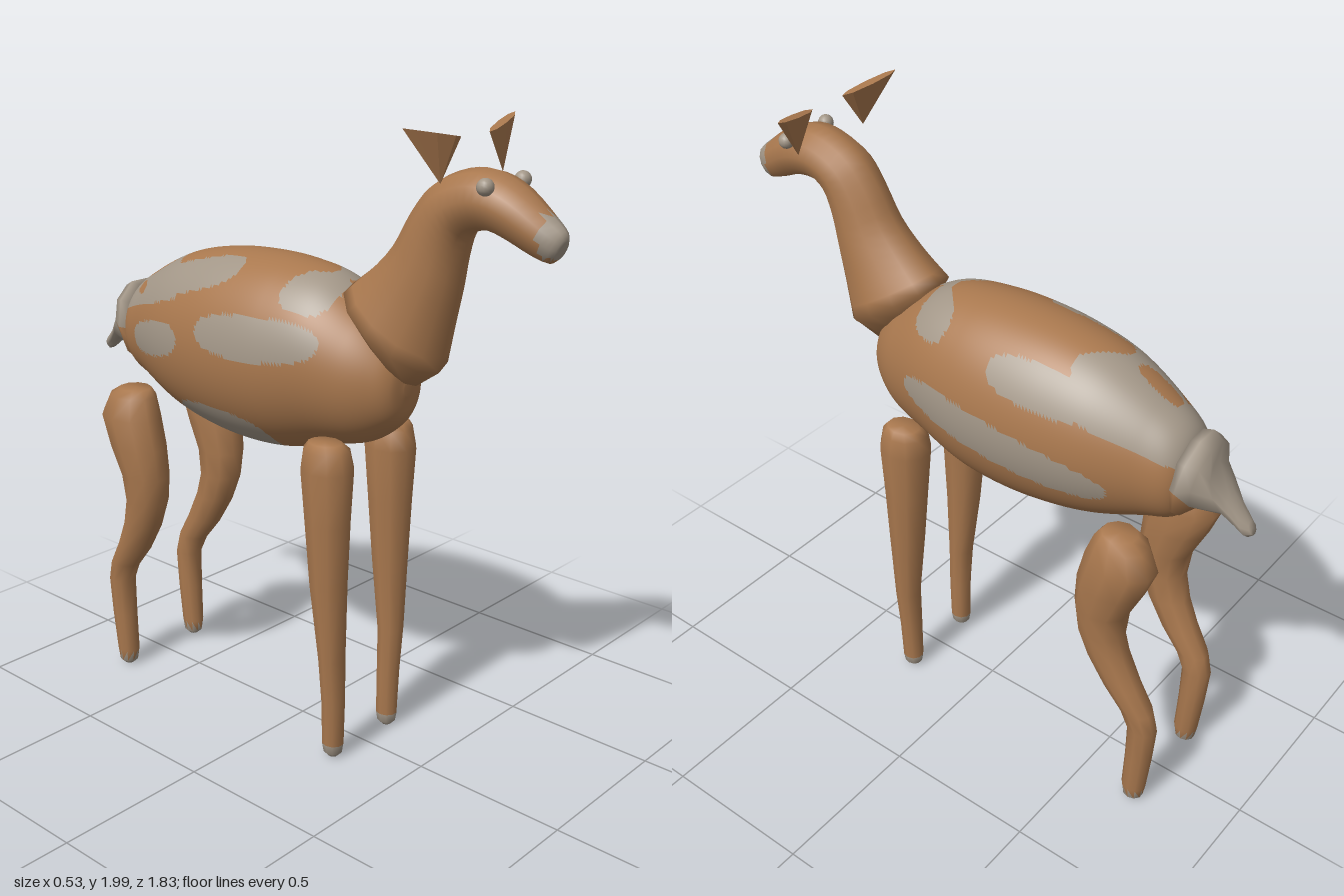
import * as THREE from 'three';

const coat = new THREE.MeshStandardMaterial({ color: 0xa9784e });
coat.name = 'brownCoat';
const pale = new THREE.MeshStandardMaterial({ color: 0xa29687 });
pale.name = 'paleGrey';

// Ring: [x, y, z, halfWidthX, upY, upZ] - an ellipse spanned by the x axis and the (0, upY, upZ) vector
function refine(rings, count) {
  const centre = new THREE.CatmullRomCurve3(rings.map(r => new THREE.Vector3(r[0], r[1], r[2])), false, 'catmullrom');
  const size = new THREE.CatmullRomCurve3(rings.map(r => new THREE.Vector3(r[3], r[4], r[5])), false, 'catmullrom');
  return Array.from({ length: count + 1 }, (_, i) =>
    [...centre.getPoint(i / count).toArray(), ...size.getPoint(i / count).toArray()]);
}

// Closed skin through the rings; isPale(x, y, z) picks the faces of the second colour
function loft(name, rings, sides, isPale = () => false, mirror = 1) {
  const pos = [], idx = [], n = rings.length;
  for (const [x, y, z, w, uy, uz] of rings) {
    for (let j = 0; j < sides; j++) {
      const a = (j / sides) * Math.PI * 2, s = Math.sin(a);
      pos.push(mirror * (x + Math.cos(a) * w), y + s * uy, z + s * uz);
    }
  }
  for (const r of [rings[0], rings[n - 1]]) pos.push(mirror * r[0], r[1], r[2]);
  for (let i = 0; i < n - 1; i++) {
    for (let j = 0; j < sides; j++) {
      const k = (j + 1) % sides, a = i * sides, b = a + sides;
      idx.push([a + j, a + k, b + j], [a + k, b + k, b + j]);
    }
  }
  for (let j = 0; j < sides; j++) {
    const k = (j + 1) % sides, e = (n - 1) * sides;
    idx.push([n * sides, k, j], [n * sides + 1, e + j, e + k]);
  }
  // Turn every face outward
  const P = i => new THREE.Vector3(pos[3 * i], pos[3 * i + 1], pos[3 * i + 2]);
  const volume = idx.reduce((v, t) => v + P(t[0]).dot(P(t[1]).cross(P(t[2]))), 0);
  if (volume < 0) idx.forEach(t => t.reverse());
  const sets = [[], []];
  for (const t of idx) {
    const c = P(t[0]).add(P(t[1])).add(P(t[2])).divideScalar(3);
    sets[isPale(c.x, c.y, c.z) ? 1 : 0].push(...t);
  }
  const geo = new THREE.BufferGeometry();
  geo.setAttribute('position', new THREE.Float32BufferAttribute(pos, 3));
  geo.setIndex([...sets[0], ...sets[1]]);
  geo.addGroup(0, sets[0].length, 0);
  geo.addGroup(sets[0].length, sets[1].length, 1);
  geo.computeVertexNormals();
  const mesh = new THREE.Mesh(geo, [coat, pale]);
  mesh.name = name;
  return mesh;
}

// Rounded-box-like blot test in a plane
function blot(u, v, [cu, cv, ru, rv, tilt = 0]) {
  const c = Math.cos(tilt), s = Math.sin(tilt), du = u - cu, dv = v - cv;
  return Math.abs((du * c + dv * s) / ru) ** 2.6 + Math.abs((dv * c - du * s) / rv) ** 2.6 < 1;
}
// Blots in (z, y) on each flank: [z, y, halfLength, halfHeight, tilt]
const rightBlots = [
  [0.13, 1.475, 0.08, 0.05, -0.15],
  [-0.01, 1.335, 0.225, 0.065, 0.05],
  [-0.36, 1.455, 0.23, 0.045, 0.27],
  [-0.46, 1.25, 0.14, 0.055, 0.2],
  [-0.2, 1.0, 0.2, 0.08],
];
const leftBlots = [
  [0.12, 1.475, 0.07, 0.05],
  [-0.3, 1.425, 0.17, 0.055, 0.1],
  [-0.18, 1.22, 0.36, 0.065, 0.15],
];
function bodyPatch(x, y, z) {
  if (y > 1.24 && blot(x, z, [-0.03, -0.57, 0.035, 0.07])) return false;
  if (x < 0 && blot(z, y, [-0.61, 1.375, 0.03, 0.018])) return false;
  const edge = -0.41 - 0.05 * Math.sin(x * 22 + 2.6);
  if (z < edge && y > 1.46 + (z + 0.15) * 0.31) return true;
  return (x < 0 ? rightBlots : leftBlots).some(b => blot(z, y, b));
}

export function createModel() {
  const model = new THREE.Group();
  model.name = 'deer';

  // Barrel body with blotches
  const body = [
    [0.412, 1.22, 0.02], [0.4, 1.22, 0.09], [0.36, 1.225, 0.145], [0.28, 1.235, 0.205],
    [0.15, 1.258, 0.262], [0, 1.25, 0.297], [-0.15, 1.246, 0.305], [-0.3, 1.245, 0.293],
    [-0.45, 1.243, 0.26], [-0.6, 1.235, 0.195], [-0.7, 1.22, 0.135], [-0.73, 1.22, 0.02],
  ].map(([z, y, h]) => [0, y, z, h * 0.805, h, 0]);
  model.add(loft('body', refine(body, 150), 120, bodyPatch));

  // Neck and head from [frontZ, frontY, backZ, backY, halfWidth]
  const neck = [
    [0.44, 1.235, 0.23, 1.43, 0.075], [0.52, 1.29, 0.2, 1.5, 0.14], [0.55, 1.42, 0.29, 1.57, 0.115],
    [0.575, 1.53, 0.37, 1.65, 0.1], [0.59, 1.62, 0.43, 1.75, 0.092], [0.61, 1.69, 0.5, 1.83, 0.09],
    [0.65, 1.714, 0.6, 1.875, 0.087], [0.7, 1.714, 0.69, 1.88, 0.086], [0.75, 1.698, 0.78, 1.845, 0.076],
    [0.82, 1.668, 0.87, 1.778, 0.055], [0.865, 1.655, 0.908, 1.745, 0.037], [0.89, 1.668, 0.914, 1.72, 0.02],
  ].map(([fz, fy, bz, by, w]) => [0, (fy + by) / 2, (fz + bz) / 2, w, (by - fy) / 2, (bz - fz) / 2]);
  const muzzle = (x, y, z) => z > 0.855 && y > 1.672;
  model.add(loft('neckAndHead', [neck[0], ...refine(neck.slice(1), 30)], 12, muzzle));

  // Short tail with brown root
  const tail = [
    [0.02, 0, 0, 0], [1.222, -0.69, 0.105, 0.14], [1.225, -0.72, 0.12, 0.145], [1.238, -0.76, 0.1, 0.112],
    [1.215, -0.81, 0.062, 0.072], [1.165, -0.855, 0.04, 0.055], [1.135, -0.885, 0.033, 0.042], [1.125, -0.91, 0.018, 0.02],
  ].slice(1).map(([y, z, w, h], i) => [0, y, z, w, h, (i < 3 ? -0.15 : 0.45) * h]);
  model.add(loft('tail', tail, 10, (x, y, z) => z < -0.735 || y > 1.24));

  // Leg profiles: [x, y, z, radiusX, radiusZ]
  const foreleg = [
    [0.155, 1.055, 0.23, 0.045, 0.055], [0.148, 1.03, 0.23, 0.066, 0.077], [0.147, 0.97, 0.232, 0.076, 0.088],
    [0.147, 0.8, 0.235, 0.067, 0.075], [0.147, 0.6, 0.24, 0.058, 0.061], [0.143, 0.35, 0.252, 0.044, 0.042],
    [0.135, 0.2, 0.252, 0.038, 0.038], [0.133, 0.05, 0.25, 0.034, 0.036], [0.133, 0.02, 0.25, 0.029, 0.031],
    [0.133, 0.005, 0.25, 0.015, 0.016],
  ];
  const hindleg = [
    [0.17, 1.055, -0.59, 0.05, 0.055], [0.173, 1.03, -0.6, 0.07, 0.085], [0.178, 0.96, -0.605, 0.085, 0.115],
    [0.178, 0.86, -0.575, 0.082, 0.108], [0.175, 0.76, -0.548, 0.073, 0.088], [0.172, 0.67, -0.548, 0.066, 0.078],
    [0.168, 0.58, -0.577, 0.06, 0.073], [0.164, 0.48, -0.63, 0.053, 0.066], [0.161, 0.4, -0.685, 0.047, 0.056],
    [0.159, 0.33, -0.71, 0.043, 0.048], [0.158, 0.2, -0.705, 0.04, 0.044], [0.157, 0.06, -0.695, 0.035, 0.04],
    [0.157, 0.02, -0.695, 0.03, 0.033], [0.157, 0.005, -0.695, 0.015, 0.016],
  ];
  const legRings = leg => leg.map(([x, y, z, w, d]) => [x, y, z, w, 0, d]);
  const toe = (x, y) => y < 0.045;

  // Ear: flat cone standing on its point
  const earCone = side => {
    const geo = new THREE.ConeGeometry(1, 1, 8).toNonIndexed();
    const p = geo.attributes.position;
    for (let i = 0; i < p.count; i++) {
      const u = p.getX(i), v = p.getZ(i), t = 0.5 - p.getY(i);
      p.setXYZ(i, side * (0.14 + 0.016 * t + 0.093 * u), 1.85 + 0.132 * t + 0.017 * u, 0.61 - 0.019 * t - 0.024 * u + 0.016 * v);
    }
    // Pointing the cone down turns it inside out, so reverse the corners on the unmirrored side
    if (side > 0) {
      const a = p.array;
      for (let i = 0; i < a.length; i += 9) {
        for (let k = 0; k < 3; k++) [a[i + 3 + k], a[i + 6 + k]] = [a[i + 6 + k], a[i + 3 + k]];
      }
    }
    geo.computeVertexNormals();
    return new THREE.Mesh(geo, coat);
  };

  for (const side of [1, -1]) {
    const word = side > 0 ? 'left' : 'right';
    model.add(loft(word + 'FrontLeg', legRings(foreleg), 10, toe, side));
    model.add(loft(word + 'HindLeg', legRings(hindleg), 10, toe, side));
    const ear = earCone(side);
    ear.name = word + 'Ear';
    const eye = new THREE.Mesh(new THREE.SphereGeometry(0.024, 14, 10), pale);
    eye.name = word + 'Eye';
    eye.position.set(side * 0.085, 1.847, 0.713);
    model.add(ear, eye);
  }
  return model;
}
